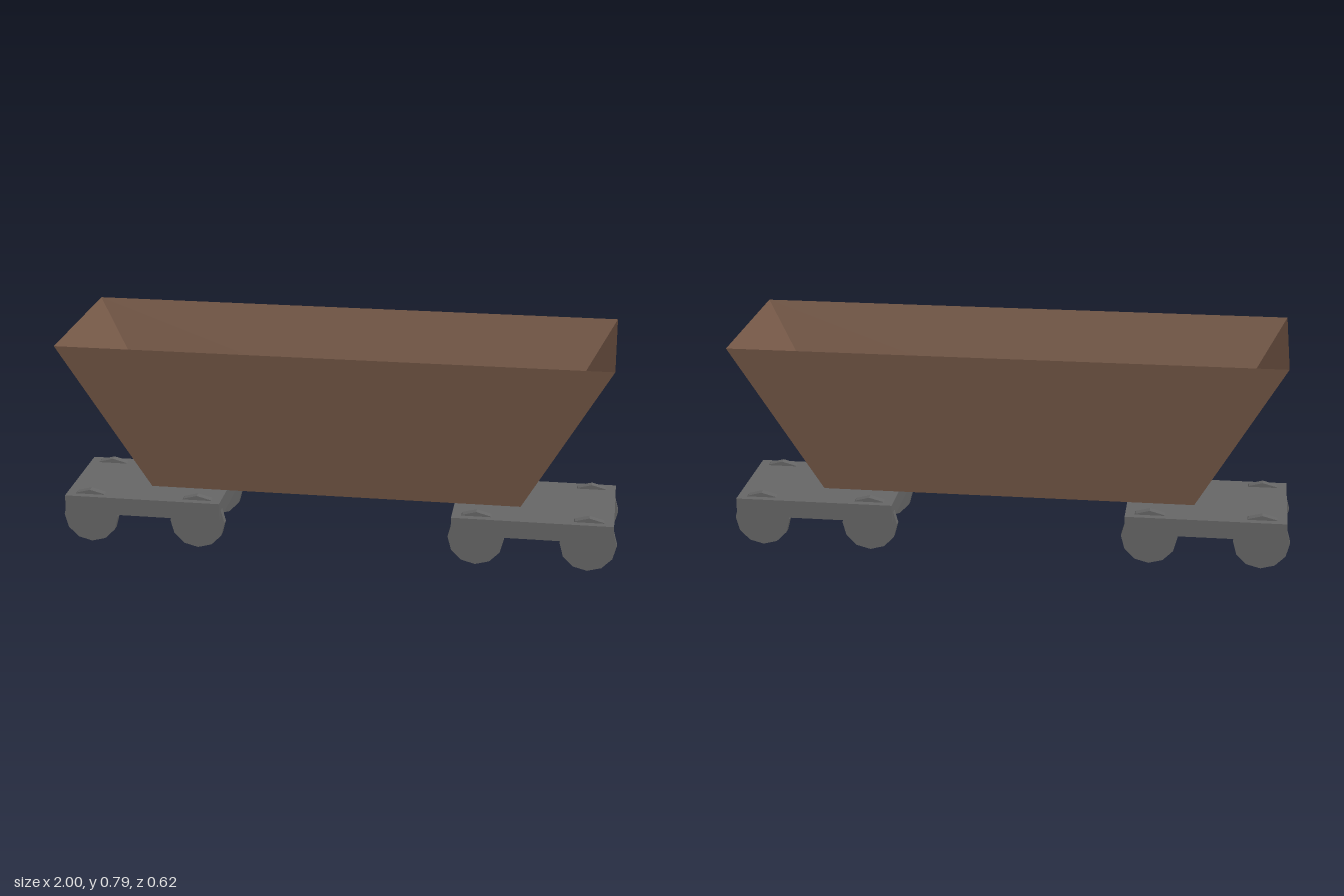
import * as THREE from 'three';

const brown = new THREE.MeshStandardMaterial({ color: 0x7a5c4a, side: THREE.DoubleSide });
brown.name = 'rusty brown';
const grey = new THREE.MeshStandardMaterial({ color: 0x666666, flatShading: true });
grey.name = 'iron grey';

function addMesh(parent, name, geometry, material, x, y, z) {
  const mesh = new THREE.Mesh(geometry, material);
  mesh.name = name;
  mesh.position.set(x, y, z);
  parent.add(mesh);
}

// Open thin-walled tub that widens towards the rim
function hopperGeometry() {
  const bottom = { x: 0.66, y: 0.24, z: 0.198 };
  const rim = { x: 0.963, y: 0.786, z: 0.308 };
  const geo = new THREE.BoxGeometry(2, 2, 2);
  const p = geo.attributes.position;
  for (let i = 0; i < p.count; i++) {
    const s = p.getY(i) > 0 ? rim : bottom;
    p.setXYZ(i, p.getX(i) * s.x, s.y, p.getZ(i) * s.z);
  }
  // Leave out the top face
  const index = Array.from(geo.index.array);
  index.splice(12, 6);
  geo.setIndex(index);
  geo.clearGroups();
  geo.computeVertexNormals();
  return geo;
}

export function createModel() {
  const model = new THREE.Group();
  model.name = 'hopperWagon';
  addMesh(model, 'hopper', hopperGeometry(), brown, 0, 0, 0);

  const deck = new THREE.BoxGeometry(0.57, 0.065, 0.396);
  const wheel = new THREE.CylinderGeometry(0.1, 0.1, 0.027, 12).rotateX(Math.PI / 2).rotateZ(Math.PI / 2);

  // Two four-wheeled trucks
  for (const side of [-1, 1]) {
    const truck = new THREE.Group();
    truck.name = side > 0 ? 'leftTruck' : 'rightTruck';
    truck.position.x = side * 0.702;
    addMesh(truck, 'truckDeck', deck, grey, 0, 0.151, 0);
    for (const x of [-0.198, 0.198]) {
      for (const z of [-0.159, 0.159]) addMesh(truck, 'wheel', wheel, grey, x, 0.1, z);
    }
    model.add(truck);
  }
  return model;
}
